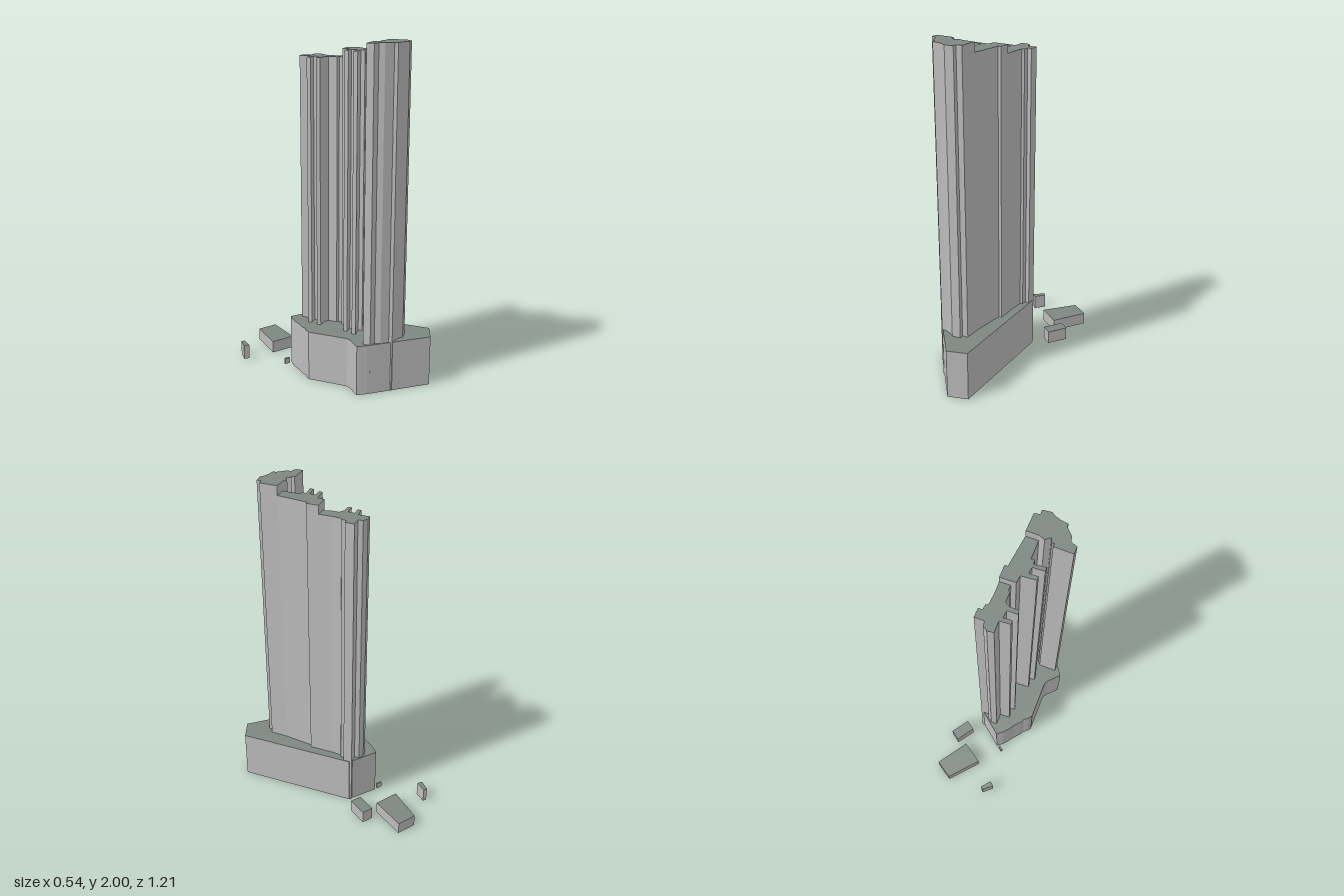
import * as THREE from 'three';

const wall = new THREE.MeshStandardMaterial({ color: 0xbcbcbc, side: THREE.DoubleSide });
wall.name = 'wallGrey';
const roof = new THREE.MeshStandardMaterial({ color: 0x7e8782, side: THREE.DoubleSide });
roof.name = 'roofGrey';

// Upright block over an [x, z] outline: flat walls and a roof, open underneath
function block(name, height, outline) {
  const group = new THREE.Group();
  group.name = name;
  let pts = outline.map(([x, z]) => new THREE.Vector2(x, -z));
  if (THREE.ShapeUtils.isClockWise(pts)) pts = pts.reverse();

  const pos = [];
  pts.forEach((a, i) => {
    const b = pts[(i + 1) % pts.length];
    const p = [a.x, 0, -a.y], q = [b.x, 0, -b.y];
    const r = [b.x, height, -b.y], s = [a.x, height, -a.y];
    pos.push(...p, ...q, ...r, ...p, ...r, ...s);
  });
  const sides = new THREE.BufferGeometry();
  sides.setAttribute('position', new THREE.Float32BufferAttribute(pos, 3));
  sides.computeVertexNormals();
  const walls = new THREE.Mesh(sides, wall);
  walls.name = name + 'Walls';

  const top = new THREE.ShapeGeometry(new THREE.Shape(pts)).rotateX(-Math.PI / 2);
  const lid = new THREE.Mesh(top, roof);
  lid.name = name + 'Roof';
  lid.position.y = height;

  group.add(walls, lid);
  return group;
}

// Podium with a wavy west side
const podium = [
  [-0.111, -0.231], [0.066, -0.155], [0.268, 0.531], [0.168, 0.604], [-0.16, 0.387], [-0.206, 0.348],
  [-0.182, 0.303], [-0.163, 0.268], [-0.156, 0.239], [-0.163, 0.213], [-0.224, 0.006], [-0.214, -0.019],
  [-0.195, -0.045], [-0.192, -0.065], [-0.182, -0.087], [-0.166, -0.119], [-0.156, -0.152], [-0.137, -0.194],
];

// Three stepped tower sections, front to back
const frontTower = [
  [-0.156, 0.355], [-0.05, 0.326], [-0.044, 0.348], [-0.034, 0.335], [-0.015, 0.361], [0.005, 0.332],
  [0.04, 0.335], [0.108, 0.316], [0.134, 0.419], [0.104, 0.433], [0.113, 0.458], [0.065, 0.478],
  [0.04, 0.47], [0, 0.468], [-0.037, 0.474], [-0.044, 0.455], [-0.09, 0.428], [-0.108, 0.4], [-0.145, 0.397],
];
const middleTower = [
  [0.018, 0.076], [0.076, 0.058], [0.095, 0.126], [0.079, 0.132], [0.108, 0.316], [0.04, 0.335],
  [0.011, 0.232], [-0.008, 0.238], [-0.015, 0.215], [-0.079, 0.242], [-0.085, 0.219], [-0.021, 0.197],
  [-0.027, 0.161], [-0.076, 0.177], [-0.082, 0.155], [-0.002, 0.126], [-0.008, 0.085],
];
const backTower = [
  [-0.069, -0.174], [-0.034, -0.187], [-0.005, -0.177], [0.008, -0.152], [0.06, -0.168], [0.073, -0.116],
  [0.05, -0.11], [0.056, -0.081], [0.044, -0.071], [0.056, -0.01], [0.076, 0.058], [0.018, 0.076],
  [0.011, 0.048], [-0.002, 0.042], [-0.015, -0.01], [-0.047, -0.019], [-0.095, -0.006], [-0.105, -0.026],
  [-0.047, -0.045], [-0.056, -0.084], [-0.102, -0.068], [-0.108, -0.09], [-0.05, -0.11],
];

export function createModel() {
  const model = new THREE.Group();
  model.name = 'towerComplex';
  model.add(
    block('podium', 0.305, podium),
    block('frontTower', 2, frontTower),
    block('middleTower', 1.945, middleTower),
    block('backTower', 1.895, backTower),
    // Low outbuildings behind the podium
    block('largeAnnex', 0.075, [[0.005, -0.61], [0.121, -0.574], [0.053, -0.361], [-0.089, -0.406]]),
    block('smallAnnex', 0.08, [[0.115, -0.371], [0.179, -0.348], [0.14, -0.229], [0.076, -0.252]]),
    block('kiosk', 0.09, [[-0.231, -0.545], [-0.211, -0.535], [-0.24, -0.468], [-0.27, -0.484]]),
    block('hut', 0.035, [[-0.158, -0.248], [-0.126, -0.235], [-0.131, -0.226], [-0.163, -0.235]]),
  );
  return model;
}
